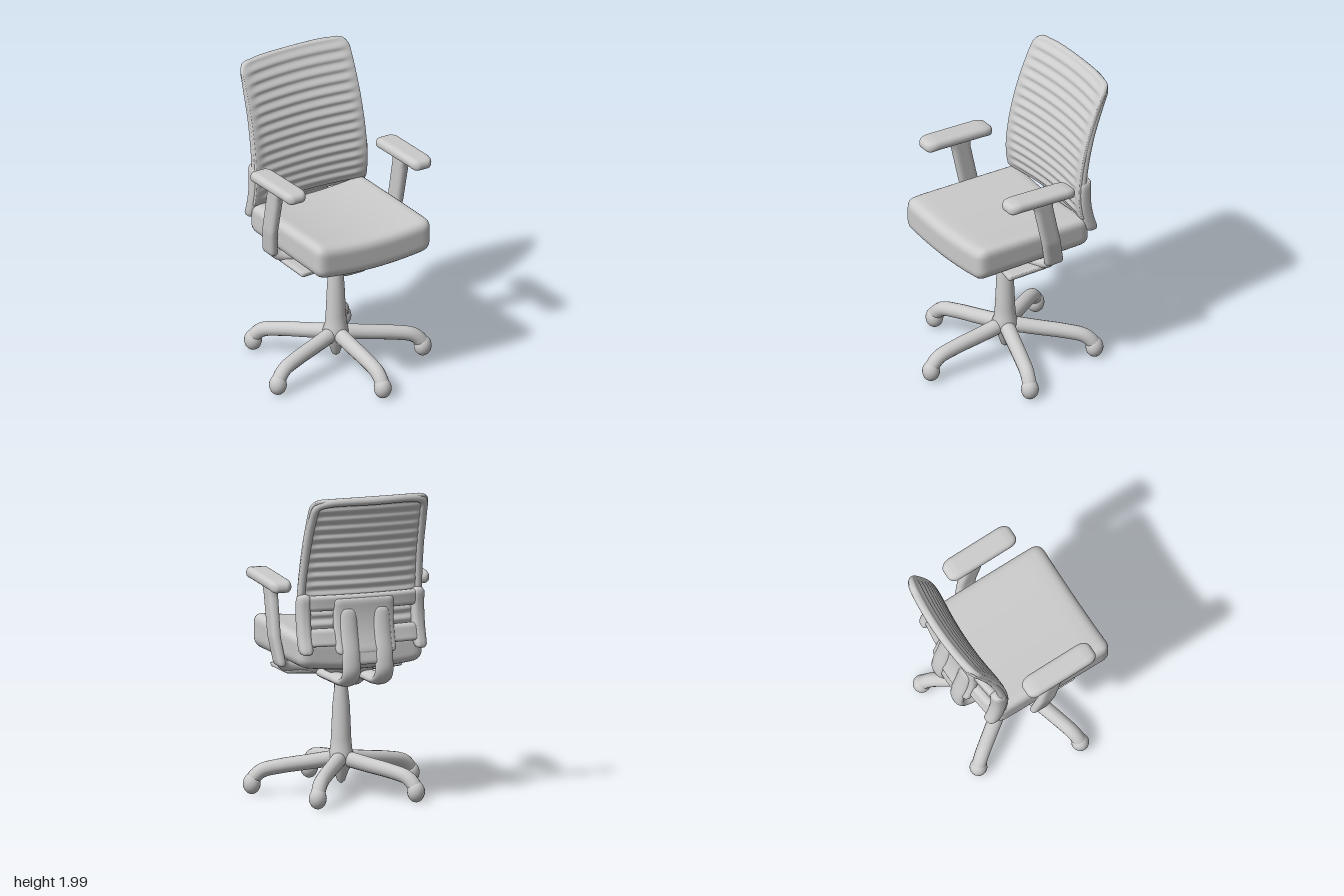
import * as THREE from 'three';
import { mergeVertices } from 'three/addons/utils/BufferGeometryUtils.js';

const mat = new THREE.MeshStandardMaterial({ color: 0xcccccc, side: THREE.DoubleSide });
const V = (x, y, z) => new THREE.Vector3(x, y, z);

function add(parent, name, geo, x = 0, y = 0, z = 0) {
  const m = new THREE.Mesh(geo, mat);
  m.name = name;
  m.position.set(x, y, z);
  parent.add(m);
  return m;
}

// Apply a rule to every vertex, then weld and smooth
function deform(geo, rule) {
  const p = geo.attributes.position, v = V(0, 0, 0);
  for (let i = 0; i < p.count; i++) {
    rule(v.fromBufferAttribute(p, i));
    p.setXYZ(i, v.x, v.y, v.z);
  }
  geo.deleteAttribute('uv');
  geo.deleteAttribute('normal');
  const g = mergeVertices(geo, 1e-4);
  g.computeVertexNormals();
  return g;
}

// Finely divided box with rounded edges and an optional bending rule
function softBox(w, h, d, r, seg, rule = () => {}) {
  const half = V(w / 2 - r, h / 2 - r, d / 2 - r), c = V(0, 0, 0);
  return deform(new THREE.BoxGeometry(w, h, d, ...seg), v => {
    c.copy(v).clamp(half.clone().negate(), half);
    v.sub(c).setLength(r).add(c);
    rule(v);
  });
}

// Tube through points whose radius runs from r0 to r1, with round ends
function limb(points, r0, r1, seg = 24) {
  const curve = new THREE.CatmullRomCurve3(points);
  const geo = new THREE.TubeGeometry(curve, seg, 1, 14, false);
  const p = geo.attributes.position, v = V(0, 0, 0);
  for (let i = 0; i <= seg; i++) {
    const c = curve.getPointAt(i / seg), r = r0 + (r1 - r0) * i / seg;
    const end = i === 0 || i === seg ? 0.02 : (i === 1 || i === seg - 1 ? 0.88 : 1);
    for (let j = 0; j < 15; j++) {
      const k = i * 15 + j;
      v.fromBufferAttribute(p, k).sub(c).multiplyScalar(r * end).add(c);
      p.setXYZ(k, v.x, v.y, v.z);
    }
  }
  return deform(geo, () => {});
}

// Depth of the curved backrest at a given width and height
function backZ(x, y) {
  const d = y - 1.3;
  return -0.36 - 0.08 * d - (d > 0 ? 0.33 : 0.82) * d * d + 0.035 * (x / 0.4) ** 2;
}

// Slab that follows the backrest curve, pushed backwards by offset
function backSlab(x0, x1, y0, y1, thick, offset, r) {
  return softBox(x1 - x0, y1 - y0, thick, r, [16, 16, 8], v => {
    v.x += (x0 + x1) / 2;
    v.y += (y0 + y1) / 2;
    v.z += backZ(v.x, v.y) - offset;
  });
}

function buildBase() {
  const base = new THREE.Group();
  base.name = 'base';
  base.position.z = -0.025;
  const profile = [[0, 0.07], [0.025, 0.09], [0.045, 0.15], [0.075, 0.2], [0.085, 0.25], [0.07, 0.29],
    [0.064, 0.36], [0.055, 0.57], [0.043, 0.68], [0.043, 0.8]];
  add(base, 'column', new THREE.LatheGeometry(profile.map(p => new THREE.Vector2(...p)), 28));
  // Five legs with caster knobs
  for (let i = 0; i < 5; i++) {
    const leg = new THREE.Group();
    leg.name = 'leg';
    leg.rotation.y = i * Math.PI * 2 / 5;
    add(leg, 'legArm', limb([V(0, 0.235, 0.03), V(0, 0.21, 0.2), V(0, 0.185, 0.38), V(0, 0.155, 0.5),
      V(0, 0.1, 0.555), V(0, 0.06, 0.565)], 0.05, 0.045, 30));
    const knob = add(leg, 'caster', new THREE.SphereGeometry(0.056, 20, 14), 0, 0.075, 0.56);
    knob.scale.y = 1.2;
    base.add(leg);
  }
  return base;
}

function buildBack() {
  const back = new THREE.Group();
  back.name = 'backrest';
  // Ribbed mesh panel with rounded top corners
  add(back, 'backPanel', softBox(0.83, 0.91, 0.045, 0.02, [28, 130, 6], v => {
    v.y += 1.535;
    const t = Math.max(0, v.y - 1.92);
    const inset = 0.075 - Math.sqrt(Math.max(0, 0.075 ** 2 - Math.min(t, 0.075) ** 2));
    v.x *= (1 - 0.05 * (v.y - 1.1)) * (1 - inset / 0.41);
    const fade = Math.min(1, Math.max(0, (0.38 - Math.abs(v.x)) / 0.06));
    const rib = 0.006 * fade * Math.sin(v.y * Math.PI * 2 / 0.062);
    v.y += 0.012 * (1 - (v.x / 0.4) ** 2) * Math.max(0, v.y - 1.5);
    v.z += backZ(v.x, v.y) + rib;
  }));
  // Rim behind the panel
  const rim = [[0.39, 1.0], [0.395, 1.2], [0.39, 1.4], [0.38, 1.65], [0.37, 1.85], [0.355, 1.94], [0.3, 1.963]];
  const path = [...rim, [0, 1.968], ...rim.slice().reverse().map(([x, y]) => [-x, y])];
  add(back, 'backRim', limb(path.map(([x, y]) => V(x, y, backZ(x, y) - 0.015)), 0.026, 0.026, 110));
  // Lower support shell with an opening at each side
  add(back, 'upperBand', backSlab(-0.4, 0.4, 1.25, 1.35, 0.055, 0.045, 0.025));
  add(back, 'lowerBand', backSlab(-0.4, 0.4, 1.03, 1.14, 0.055, 0.045, 0.025));
  add(back, 'centreShell', backSlab(-0.2, 0.2, 0.98, 1.33, 0.06, 0.06, 0.028));
  for (const s of [-1, 1]) {
    const xs = [s * 0.34, s * 0.425].sort((a, b) => a - b);
    add(back, 'sideShell', backSlab(...xs, 0.98, 1.36, 0.09, 0.035, 0.035));
    // Prong curving from the shell to below the seat
    const prong = add(back, 'prong', limb([V(0, 1.28, -0.42), V(0, 1.1, -0.455), V(0, 0.95, -0.49),
      V(0, 0.85, -0.49), V(0, 0.8, -0.43), V(0, 0.79, -0.25), V(0, 0.79, 0)], 0.03, 0.035, 40), s * 0.11);
    prong.scale.x = 1.9;
  }
  add(back, 'prongBridge', softBox(0.28, 0.14, 0.045, 0.02, [10, 10, 6]), 0, 0.98, -0.475).rotation.x = 0.2;
  return back;
}

function buildArmrest(s) {
  const arm = new THREE.Group();
  arm.name = s > 0 ? 'leftArmrest' : 'rightArmrest';
  // Pad with rounded ends and a lifted front
  add(arm, 'armPad', softBox(0.15, 0.07, 0.5, 0.033, [14, 10, 36], v => {
    const t = Math.max(0, Math.abs(v.z) - 0.18) / 0.07;
    v.x *= 1 - 0.3 * t * t;
    v.y += 0.05 * v.z - 0.01 * t;
  }), s * 0.462, 1.395, 0.035);
  // Slanted flat post
  add(arm, 'armPost', softBox(0.06, 0.52, 0.13, 0.028, [8, 28, 10], v => {
    const t = v.y / 0.52 + 0.5;
    v.z += -0.1 + 0.115 * t + (t > 0.85 ? (t - 0.85) * v.z * 2 : 0);
    v.x = v.x * (0.9 + 0.2 * t) + s * (0.462 - 0.025 * Math.max(0, 0.35 - t) / 0.35);
    v.y += 1.12;
  }));
  add(arm, 'armBracket', limb([V(s * 0.435, 0.91, -0.09), V(s * 0.4, 0.86, -0.07),
    V(s * 0.28, 0.835, -0.03), V(s * 0.08, 0.8, 0)], 0.035, 0.035));
  return arm;
}

export function createModel() {
  const chair = new THREE.Group();
  chair.name = 'officeChair';
  chair.add(buildBase(), buildBack(), buildArmrest(1), buildArmrest(-1));

  // Seat cushion, dished across and sloping to the rear
  add(chair, 'seat', softBox(0.84, 0.215, 0.85, 0.06, [32, 16, 32], v => {
    const edge = (v.x / 0.42) ** 2, top = v.y / 0.215 + 0.5;
    v.y += 0.965 + 0.035 * edge + top * (0.03 * v.z - 0.05 * Math.max(0, v.z - 0.3));
    v.z += 0.03;
    v.x *= 1 - 0.02 * Math.max(0, -v.z);
  }));

  // Tilt mechanism, narrowing downwards
  add(chair, 'mechanism', softBox(0.36, 0.15, 0.52, 0.04, [14, 12, 20], v => {
    const low = 0.5 - v.y / 0.15;
    v.x *= 1 - 0.6 * low;
    v.z *= 1 - 0.25 * low;
  }), 0, 0.795, 0.01);
  // Lever blades at both sides
  for (const s of [-1, 1]) {
    add(chair, 'leverBlade', softBox(0.3, 0.035, 0.3, 0.016, [14, 6, 14], v => {
      const t = s * v.x / 0.3 + 0.5;
      v.z *= 0.5 + 0.5 * t;
      v.y += 0.03 * t - 0.015;
    }), s * 0.24, 0.805, 0.06);
  }
  return chair;
}
